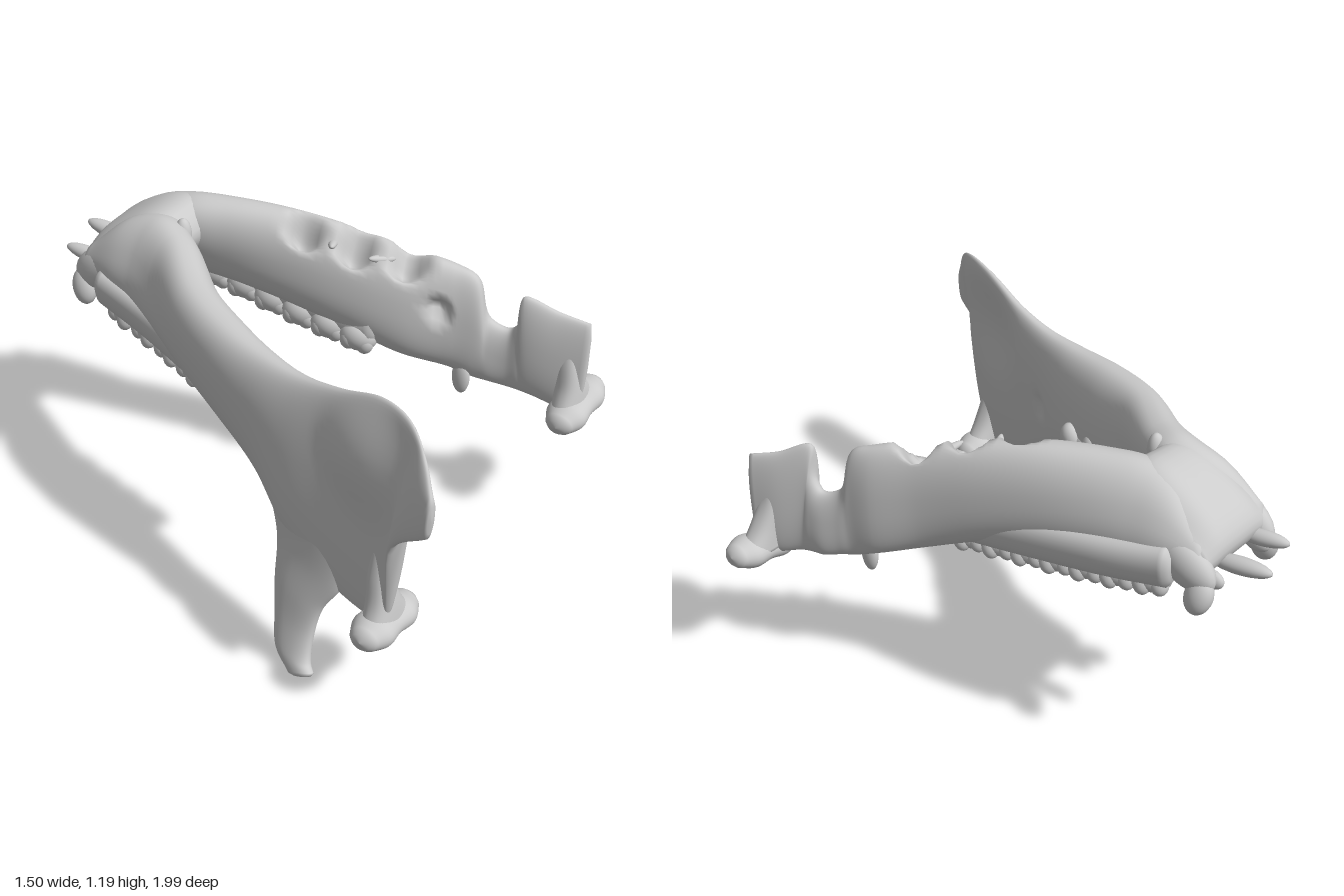
import * as THREE from 'three';

const mat = new THREE.MeshStandardMaterial({ color: 0xcccccc, roughness: 0.8 });
const V = (p) => new THREE.Vector3(...p);

// Smooth bone: each station is [edge point A, edge point B, half thickness].
// Dents are [x, y, z, radius, dx, dy, dz] and push the nearby surface in.
function loft(name, stations, { dents = [], steps = 60, ring = 32, power = 0.88 } = {}) {
  const ca = new THREE.CatmullRomCurve3(stations.map((s) => V(s[0])));
  const cb = new THREE.CatmullRomCurve3(stations.map((s) => V(s[1])));
  const ct = new THREE.CatmullRomCurve3(stations.map((s) => V([s[2], 0, 0])), false, 'catmullrom');
  const mid = (u) => ca.getPoint(u).add(cb.getPoint(u)).multiplyScalar(0.5);
  const soft = (v) => Math.sign(v) * Math.abs(v) ** power;
  const pos = [], index = [];
  const rows = steps + 5;
  for (let s = 0; s < rows; s++) {
    // Two shrinking rings round off each end
    const u = THREE.MathUtils.clamp((s - 2) / steps, 0, 1);
    const end = s < 2 ? 2 - s : Math.max(0, s - steps - 2);
    const shrink = [1, 0.7, 0.001][end];
    const a = ca.getPoint(u), b = cb.getPoint(u), c = mid(u), t = ct.getPoint(u).x;
    const axis = a.clone().sub(b).multiplyScalar(0.5);
    const tangent = mid(Math.min(1, u + 0.01)).sub(mid(Math.max(0, u - 0.01))).normalize();
    const side = axis.clone().cross(tangent).normalize();
    c.addScaledVector(tangent, (s < 2 ? -1 : 1) * [0, 0.35, 0.5][end] * t);
    for (let i = 0; i < ring; i++) {
      const q = (i / ring) * Math.PI * 2;
      const p = c.clone().addScaledVector(axis, soft(Math.cos(q)) * shrink)
        .addScaledVector(side, soft(Math.sin(q)) * t * shrink);
      for (const [x, y, z, r, dx, dy, dz] of dents) {
        const d = p.distanceTo(V([x, y, z])) / r;
        if (d < 1) p.addScaledVector(V([dx, dy, dz]), (1 - d * d) ** 2);
      }
      pos.push(p.x, p.y, p.z);
      if (s < rows - 1) {
        const j = (i + 1) % ring, k = s * ring;
        index.push(k + i, k + ring + i, k + j, k + j, k + ring + i, k + ring + j);
      }
    }
  }
  const g = new THREE.BufferGeometry();
  g.setAttribute('position', new THREE.Float32BufferAttribute(pos, 3));
  g.setIndex(index);
  g.computeVertexNormals();
  const m = new THREE.Mesh(g, mat);
  m.name = name;
  return m;
}

const ball = new THREE.SphereGeometry(1, 20, 14);
function blob(name, p, size, rot = [0, 0, 0]) {
  const m = new THREE.Mesh(ball, mat);
  m.name = name;
  m.position.set(...p);
  m.scale.set(...size);
  m.rotation.set(...rot);
  return m;
}

// A gum ridge and a row of cheek teeth along a curve of crown tips
function toothRow(name, path, count, side) {
  const row = new THREE.Group();
  row.name = name;
  row.add(loft('gumRidge', path.map(([x, y, z]) =>
    [[x + side * 0.03, y + 0.2, z], [x, y + 0.04, z], 0.055]), { steps: 40 }));
  const c = new THREE.CatmullRomCurve3(path.map(V));
  for (let i = 0; i < count; i++) {
    const tooth = new THREE.Group();
    tooth.name = 'cheekTooth' + (i + 1);
    tooth.position.copy(c.getPointAt((i + 0.5) / count));
    tooth.rotation.set(0.17, side * 0.3, side * 0.2);
    tooth.add(blob('crown', [0, 0.055, 0], [0.05, 0.06, 0.07]));
    tooth.add(blob('root', [side * 0.03, 0.15, 0], [0.045, 0.07, 0.05]));
    for (const z of [-0.03, 0.03]) {
      tooth.add(blob('outerCusp', [side * 0.02, 0.035, z], [0.03, 0.045, 0.034]));
      tooth.add(blob('innerCusp', [-side * 0.02, 0.042, z], [0.028, 0.042, 0.032]));
    }
    row.add(tooth);
  }
  return row;
}

export function createModel() {
  const jaw = new THREE.Group();
  jaw.name = 'jawBone';

  // Complete right half: body, then a tall plate flaring into the rear wing
  jaw.add(loft('rightJawHalf', [
    [[-0.09, 0.99, -0.77], [-0.15, 0.88, -0.79], 0.08],
    [[-0.06, 1.12, -0.64], [-0.18, 0.86, -0.66], 0.1],
    [[-0.06, 1.16, -0.52], [-0.2, 0.84, -0.54], 0.105],
    [[-0.13, 1.155, -0.4], [-0.24, 0.81, -0.4], 0.1],
    [[-0.31, 1.125, -0.2], [-0.3, 0.76, -0.2], 0.1],
    [[-0.4, 1.1, 0], [-0.37, 0.7, 0], 0.1],
    [[-0.45, 1.08, 0.2], [-0.45, 0.6, 0.2], 0.085],
    [[-0.48, 1.08, 0.36], [-0.52, 0.47, 0.34], 0.068],
    [[-0.51, 1.115, 0.52], [-0.56, 0.38, 0.52], 0.052],
    [[-0.55, 1.18, 0.7], [-0.6, 0.36, 0.68], 0.038],
    [[-0.6, 1.18, 0.83], [-0.64, 0.4, 0.79], 0.03],
    [[-0.67, 1.12, 0.93], [-0.69, 0.76, 0.84], 0.023],
    [[-0.715, 1.03, 0.985], [-0.715, 0.88, 0.975], 0.018],
  ], { steps: 96, ring: 56, dents: [
    [-0.47, 0.78, 0.34, 0.07, -0.05, 0, -0.03],
    [-0.56, 0.95, 0.68, 0.24, -0.03, 0, -0.02],
  ] }));

  // Hook hanging below the right plate
  jaw.add(loft('rightHook', [
    [[-0.49, 0.66, 0.22], [-0.56, 0.62, 0.62], 0.045],
    [[-0.52, 0.46, 0.29], [-0.58, 0.4, 0.59], 0.042],
    [[-0.56, 0.3, 0.31], [-0.6, 0.27, 0.52], 0.038],
    [[-0.6, 0.17, 0.335], [-0.62, 0.15, 0.5], 0.034],
    [[-0.635, 0.06, 0.365], [-0.65, 0.065, 0.51], 0.032],
    [[-0.665, 0.002, 0.44], [-0.67, 0.045, 0.535], 0.026],
  ], { steps: 40 }));

  // Joint heads: bars across the rear, thick at both ends, with a flared neck above
  const head = (name, [x, y, z], tilt) => loft(name, [-0.125, -0.07, 0, 0.07, 0.125].map((d, i) => {
    const r = [0.05, 0.075, 0.068, 0.075, 0.05][i];
    return [[x + d, y + d * tilt, z + r], [x + d, y + d * tilt, z - r], [0.042, 0.058, 0.052, 0.058, 0.042][i]];
  }), { steps: 30, power: 1 });
  jaw.add(head('rightJointHead', [-0.605, 0.37, 0.77], -0.05));
  jaw.add(head('leftJointHead', [0.6, 0.515, 0.785], 0.15));
  const neck = (name, x, y, lean) => loft(name, [
    [[x - 0.11, y, 0.77], [x + 0.11, y, 0.77], 0.055],
    [[x - 0.065 + lean / 2, y + 0.08, 0.765], [x + 0.065 + lean / 2, y + 0.08, 0.765], 0.05],
    [[x - 0.035 + lean, y + 0.18, 0.755], [x + 0.035 + lean, y + 0.18, 0.755], 0.04],
    [[x - 0.015 + lean, y + 0.28, 0.75], [x + 0.015 + lean, y + 0.28, 0.75], 0.02],
  ], { steps: 24 });
  jaw.add(neck('rightJointNeck', -0.605, 0.38, -0.015), neck('leftJointNeck', 0.6, 0.53, -0.035));

  // Damaged left half: broken open along its upper edge, notched at the rear
  jaw.add(loft('leftJawHalf', [
    [[0.08, 0.99, -0.77], [0.14, 0.88, -0.79], 0.08],
    [[0.05, 1.12, -0.64], [0.17, 0.87, -0.66], 0.1],
    [[0.06, 1.165, -0.52], [0.185, 0.85, -0.54], 0.105],
    [[0.12, 1.175, -0.38], [0.2, 0.83, -0.39], 0.1],
    [[0.2, 1.165, -0.2], [0.23, 0.79, -0.2], 0.095],
    [[0.28, 1.13, 0], [0.28, 0.73, 0], 0.09],
    [[0.36, 1.075, 0.2], [0.35, 0.65, 0.2], 0.08],
    [[0.43, 1.03, 0.36], [0.44, 0.6, 0.35], 0.065],
    [[0.455, 0.99, 0.44], [0.47, 0.57, 0.43], 0.05],
    [[0.48, 0.83, 0.48], [0.49, 0.56, 0.48], 0.042],
    [[0.5, 0.8, 0.55], [0.52, 0.545, 0.54], 0.038],
    [[0.5, 0.84, 0.585], [0.53, 0.54, 0.59], 0.036],
    [[0.485, 0.96, 0.605], [0.54, 0.53, 0.64], 0.034],
    [[0.54, 0.91, 0.72], [0.57, 0.5, 0.73], 0.033],
    [[0.58, 0.88, 0.82], [0.59, 0.5, 0.8], 0.026],
  ], { steps: 100, ring: 56, dents: [
    [0.18, 1.13, -0.1, 0.09, 0.03, -0.1, -0.03],
    [0.26, 1.09, 0.06, 0.1, 0.03, -0.11, -0.03],
    [0.34, 1.05, 0.22, 0.1, 0.03, -0.1, -0.03],
    [0.36, 0.87, 0.34, 0.06, 0.05, 0, -0.03],
  ] }));

  // Thin struts left across the break, and a splinter under the plate
  for (const [x, y, z, a] of [[0.23, 1.08, -0.02, 0.5], [0.3, 1.04, 0.14, -0.4]])
    jaw.add(blob('brokenStrut', [x, y, z], [0.06, 0.014, 0.016], [0, a, -0.3]));
  jaw.add(blob('leftSplinter', [0.44, 0.57, 0.4], [0.022, 0.07, 0.035]));

  // Chin joining the two halves
  jaw.add(loft('chin', [-0.17, -0.09, 0, 0.09, 0.16].map((x, i) => {
    const dip = [0.05, 0.01, 0, 0, 0.04][i];
    return [[x, 1.12 - dip, -0.46 - dip], [x, 0.9, -0.82], 0.115 - dip];
  }), { steps: 30, power: 0.8 }));
  jaw.add(blob('chinKnob', [-0.06, 1.11, -0.45], [0.03, 0.06, 0.03]));

  // Teeth
  jaw.add(toothRow('rightCheekTeeth', [[-0.34, 0.625, 0.14], [-0.28, 0.66, -0.15], [-0.21, 0.715, -0.48], [-0.18, 0.755, -0.7]], 7, -1));
  jaw.add(toothRow('leftCheekTeeth', [[0.28, 0.655, 0.12], [0.25, 0.69, -0.15], [0.22, 0.745, -0.48], [0.18, 0.78, -0.7]], 7, 1));
  for (const s of [-1, 1]) {
    jaw.add(blob('canine', [s * 0.185, 0.83, -0.815], [0.04, 0.07, 0.05], [-0.2, 0, s * 0.2]));
    jaw.add(blob('canineSocket', [s * 0.165, 0.92, -0.74], [0.055, 0.08, 0.13], [-0.5, 0, 0]));
    jaw.add(blob('sideIncisor', [s * 0.13, 0.87, -0.82], [0.024, 0.035, 0.05]));
  }
  jaw.add(blob('leftIncisor', [0.06, 0.91, -0.88], [0.032, 0.03, 0.12], [0.12, 0.06, 0]));
  jaw.add(blob('rightIncisor', [-0.11, 0.91, -0.85], [0.028, 0.028, 0.1], [0.1, 0.12, 0]));
  return jaw;
}
